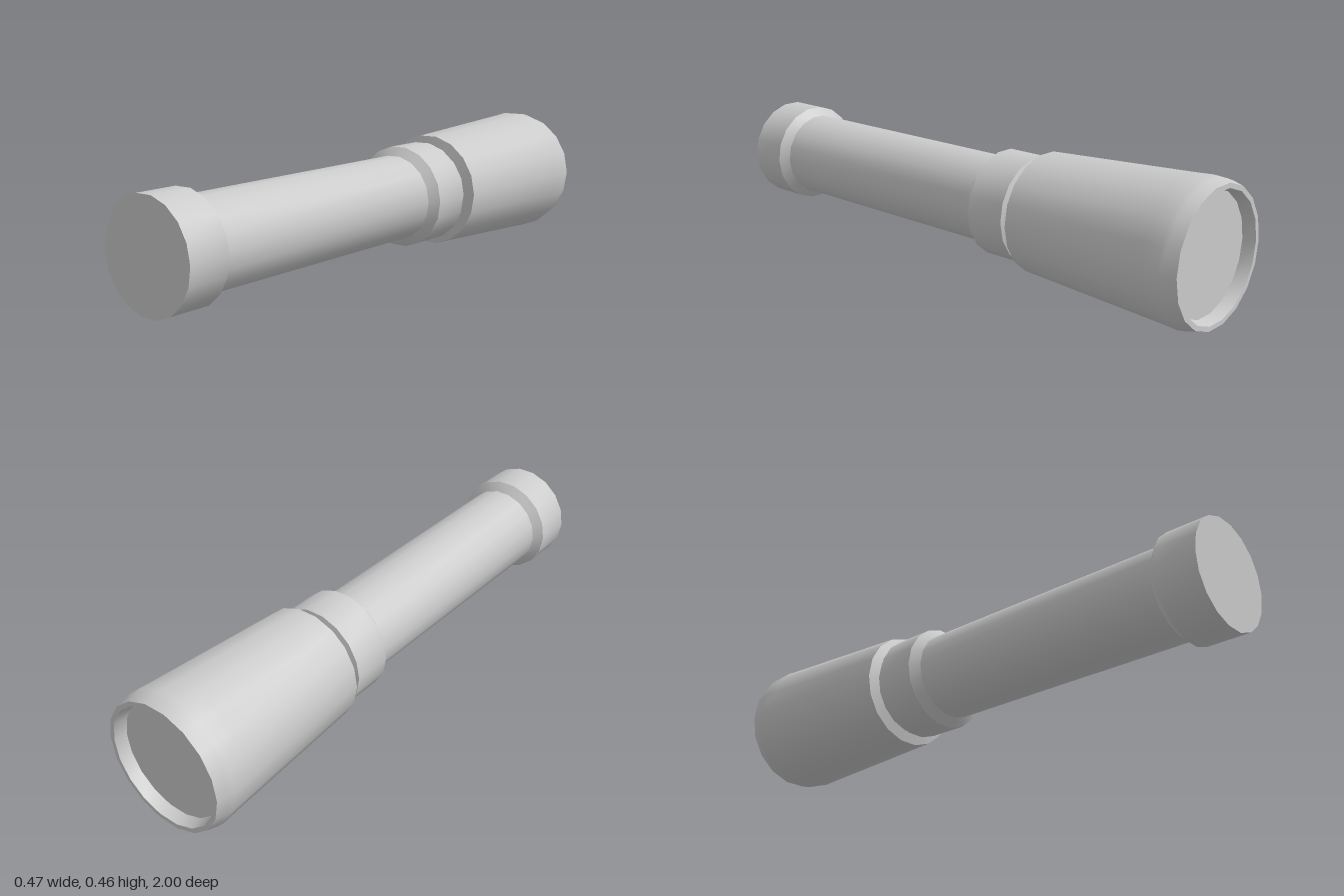
import * as THREE from 'three';
import { toCreasedNormals } from 'three/addons/utils/BufferGeometryUtils.js';

const SIDES = 18;
const material = new THREE.MeshStandardMaterial({ color: 0xcccccc });

// Turn a profile of [radius, z] points, listed from back to front, about the z axis.
function turned(name, profile) {
  const points = profile.map(([r, z]) => new THREE.Vector2(r, z));
  const lathe = new THREE.LatheGeometry(points, SIDES, Math.PI / 2).rotateX(Math.PI / 2);
  const mesh = new THREE.Mesh(toCreasedNormals(lathe, THREE.MathUtils.degToRad(30)), material);
  mesh.name = name;
  return mesh;
}

export function createModel() {
  const torch = new THREE.Group();
  torch.name = 'flashlight';

  torch.add(
    // recessed glass
    turned('lens', [[0, -0.955], [0.197, -0.955]]),
    // flared head with a rounded rim
    turned('head', [
      [0.197, -0.955], [0.206, -0.996], [0.222, -0.996], [0.232, -0.96], [0.235, -0.94],
      [0.231, -0.88], [0.203, -0.345], [0.165, -0.334],
    ]),
    // narrow groove between head and collar
    turned('neck', [[0.165, -0.334], [0.165, -0.314]]),
    turned('collar', [[0.165, -0.314], [0.182, -0.308], [0.182, -0.164], [0.152, -0.136]]),
    turned('barrel', [[0.152, -0.136], [0.152, 0.825]]),
    // chamfered end cap
    turned('endCap', [[0.152, 0.825], [0.182, 0.852], [0.182, 0.997], [0, 0.997]]),
  );

  // lying on its side, resting on the wider head and the end cap
  torch.rotation.x = 0.0175;
  torch.position.y = 0.216;

  const model = new THREE.Group();
  model.add(torch);
  return model;
}
